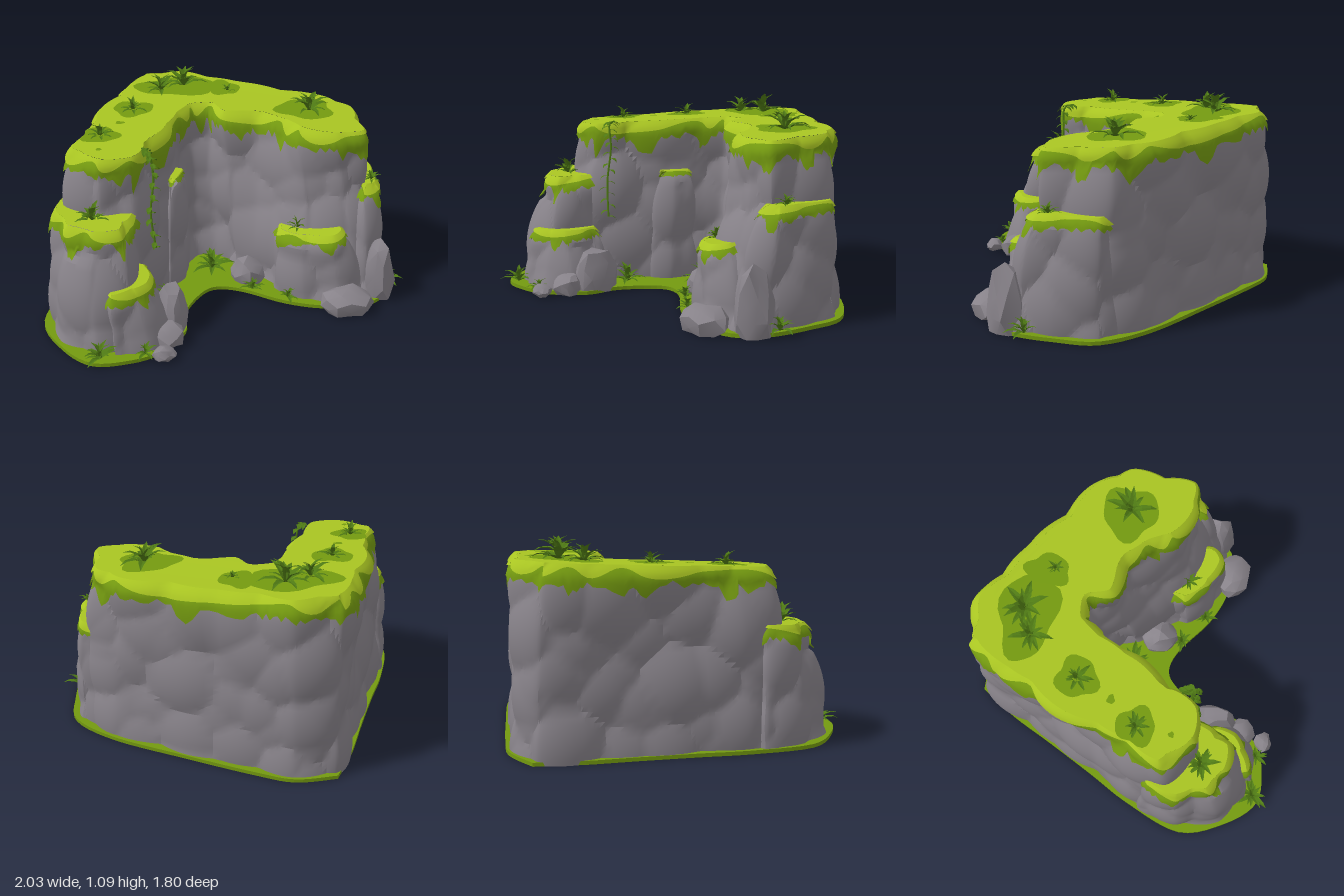
import * as THREE from 'three';
import { mergeGeometries, toCreasedNormals } from 'three/addons/utils/BufferGeometryUtils.js';

const mat = (name, color, open = true) => {
  const m = new THREE.MeshStandardMaterial({ color });
  m.name = name;
  if (open) m.side = THREE.DoubleSide;
  return m;
};

// Repeatable pseudo-random value from up to four numbers
const hash = (a, b = 0, c = 0, d = 0) => {
  const s = Math.sin(a * 127.1 + b * 311.7 + c * 74.7 + d * 53.3 + 1.7) * 43758.5453;
  return s - Math.floor(s);
};
const wave = (s, k) => 0.5 + 0.5 * Math.sin(s * k + 2 * Math.sin(s * k * 0.37));

// Stone pattern: upper envelope of tilted bulges on a jittered lattice
const CELL = 0.24;
function stone(x, y, z) {
  const ix = Math.floor(x / CELL), iy = Math.floor(y / CELL), iz = Math.floor(z / CELL);
  let best = -1;
  for (let a = ix - 1; a <= ix + 1; a++) for (let b = iy - 1; b <= iy + 1; b++) for (let c = iz - 1; c <= iz + 1; c++) {
    const r = (k) => hash(a, b, c, k);
    const dx = x - (a + r(1)) * CELL, dy = y - (b + r(2)) * CELL, dz = z - (c + r(3)) * CELL;
    const tilt = 0.35 * ((r(4) - 0.5) * dx + (r(5) - 0.5) * dy + (r(6) - 0.5) * dz);
    best = Math.max(best, 0.035 * r(7) + tilt - 1.1 * (dx * dx + dy * dy + dz * dz));
  }
  return best - 0.015;
}

// Grid of points joined into a surface; closed around u
function sheet(cols, rows, point, crease) {
  const pos = [], idx = [];
  for (let j = 0; j <= rows; j++) for (let i = 0; i < cols; i++) pos.push(...point(i, j / rows));
  for (let j = 0; j < rows; j++) for (let i = 0; i < cols; i++) {
    const n = (i + 1) % cols, a = j * cols + i, b = j * cols + n;
    idx.push(a, a + cols, b, b, a + cols, b + cols);
  }
  const g = new THREE.BufferGeometry();
  g.setAttribute('position', new THREE.Float32BufferAttribute(pos, 3));
  g.setIndex(idx);
  g.computeVertexNormals();
  return crease ? toCreasedNormals(g, crease) : g;
}

// Flat cover over a ring of [x, y, z] points
function cover(ring, topY) {
  const g = new THREE.ShapeGeometry(new THREE.Shape(ring.map((p) => new THREE.Vector2(p[0], -p[2]))));
  g.rotateX(-Math.PI / 2);
  const p = g.attributes.position;
  for (let i = 0; i < p.count; i++) p.setY(i, topY(p.getX(i), p.getZ(i)));
  g.computeVertexNormals();
  return g;
}

// Leaf along +x: folded, arching blade
function leaf(width) {
  const ts = [0, 0.35, 0.7, 1], ws = [0.4, 1, 0.65, 0], pos = [];
  const pt = (i, s) => [ts[i], 1.0 * ts[i] - 0.75 * ts[i] ** 2 + Math.abs(s) * 0.06 * ws[i], s * width * ws[i]];
  for (let i = 0; i < 3; i++) for (const s of [-1, 1]) {
    pos.push(...pt(i, 0), ...pt(i + 1, 0), ...pt(i, s), ...pt(i, s), ...pt(i + 1, 0), ...pt(i + 1, s));
  }
  const g = new THREE.BufferGeometry();
  g.setAttribute('position', new THREE.Float32BufferAttribute(pos, 3));
  return g;
}

export function createModel() {
  const model = new THREE.Group();
  const rock = mat('grey rock', 0x878289, false);
  const lime = mat('bright grass', 0xa9c522);
  const green = mat('dark grass', 0x749a10);
  const plantGreen = mat('plant leaf', 0x4f7a14);
  const add = (name, geo, m, parent = model) => {
    const mesh = new THREE.Mesh(geo, m);
    mesh.name = name;
    parent.add(mesh);
    return mesh;
  };

  // Rock block from [bottom x, bottom z, top x, top z] corners, with a grass cap
  function cliff(name, corners, topY, cols, drip) {
    const group = new THREE.Group();
    group.name = name;
    model.add(group);
    const curve = (k) => new THREE.CatmullRomCurve3(
      corners.map((c) => new THREE.Vector3(c[k], 0, c[k + 1])), true, 'catmullrom', 0.3);
    const low = curve(0), high = curve(2);
    const surf = (i, drop, extra) => {
      const u = i / cols, b = low.getPoint(u), t = high.getPoint(u);
      const tan = high.getTangent(u);
      const h = topY(t.x, t.z), f = 1 - drop / h;
      const x = b.x + (t.x - b.x) * f, z = b.z + (t.z - b.z) * f, y = h * f;
      const round = 0.04 * Math.max(0, 1 - drop / 0.07) ** 2;
      const d = stone(x, y, z) + extra - round;
      return [x + tan.z * d, y + extra * f * 0.8, z - tan.x * d];
    };
    const height = (i) => { const t = high.getPoint(i / cols); return topY(t.x, t.z); };
    add('rockWall', sheet(cols, Math.ceil(topY(0, 0) * 36), (i, v) => surf(i, height(i) * (1 - v), 0), 0.4), rock, group);
    const arc = high.getLength() / cols;
    const fringe = (i) => drip * (0.5 + 0.9 * wave(i * arc, 31) * wave(i * arc + 3, 13) + 0.35 * hash(i));
    const turf = (i) => drip * (0.12 + 0.4 * wave(i * arc + 1, 17));
    add('grassFringe', sheet(cols, 6, (i, v) => surf(i, fringe(i) * (1 - v), 0.012)), green, group);
    add('grassRim', sheet(cols, 4, (i, v) => surf(i, turf(i) * (1 - v), 0.02)), lime, group);
    const ring = Array.from({ length: cols }, (_, i) => surf(i, 0, 0.02));
    add('grassTop', cover(ring, (x, z) => topY(x, z) + 0.016), lime, group);
  }

  // Main angled cliff
  const plateau = (x, z) => 0.93 - 0.045 * z - 0.02 * Math.max(0, x);
  cliff('mainCliff', [
    [-0.36, -0.87, -0.36, -0.83], [-0.14, -0.87, -0.12, -0.84], [0.05, -0.78, 0.04, -0.74],
    [0.4, -0.57, 0.38, -0.53], [0.75, -0.34, 0.7, -0.34], [0.91, -0.13, 0.82, -0.19],
    [0.92, 0.08, 0.82, 0], [0.9, 0.28, 0.78, 0.18], [0.75, 0.38, 0.62, 0.21],
    [0.5, 0.38, 0.42, 0.13], [0.32, 0.3, 0.36, 0], [0.22, 0.14, 0.22, -0.12],
    [0.1, 0, 0.05, -0.15], [0, -0.16, -0.02, -0.26], [-0.1, -0.17, -0.12, -0.27],
    [-0.2, 0, -0.2, -0.17], [-0.32, 0.2, -0.28, 0.06], [-0.42, 0.36, -0.37, 0.28],
    [-0.52, 0.52, -0.48, 0.4], [-0.72, 0.55, -0.66, 0.42], [-0.91, 0.4, -0.81, 0.26],
    [-0.87, 0.12, -0.77, 0.07], [-0.73, -0.15, -0.67, -0.15], [-0.6, -0.42, -0.56, -0.42],
    [-0.48, -0.67, -0.46, -0.67]], plateau, 260, 0.12);

  // Stepped ledges around the foot of the cliff
  cliff('leftLedge', [[-0.9, 0.15, -0.84, 0.2], [-0.5, 0.25, -0.5, 0.28], [-0.46, 0.55, -0.49, 0.5],
    [-0.5, 0.76, -0.56, 0.61], [-0.72, 0.79, -0.72, 0.62], [-0.89, 0.65, -0.86, 0.54], [-0.97, 0.4, -0.92, 0.37]],
  (x, z) => 0.64 - 0.05 * z, 90, 0.09);
  cliff('leftStep', [[-0.6, 0.35, -0.6, 0.4], [-0.34, 0.36, -0.42, 0.42], [-0.27, 0.5, -0.4, 0.54],
    [-0.3, 0.66, -0.43, 0.65], [-0.45, 0.78, -0.5, 0.72], [-0.64, 0.8, -0.64, 0.74]],
  () => 0.32, 70, 0.07);
  cliff('rightLedge', [[0.78, -0.22, 0.74, -0.18], [0.94, -0.14, 0.9, -0.13], [0.95, 0.1, 0.92, 0.08],
    [0.91, 0.32, 0.89, 0.22], [0.78, 0.42, 0.77, 0.27], [0.66, 0.3, 0.7, 0.15]],
  () => 0.6, 70, 0.08);
  cliff('rightStep', [[0.3, 0.1, 0.35, 0.08], [0.7, 0.15, 0.68, 0.1], [0.8, 0.38, 0.66, 0.33],
    [0.62, 0.47, 0.58, 0.39], [0.42, 0.42, 0.42, 0.34], [0.27, 0.27, 0.3, 0.22]],
  (x) => 0.33 + 0.1 * x, 70, 0.06);
  cliff('innerLedge', [[-0.28, -0.14, -0.27, -0.1], [-0.15, -0.1, -0.16, -0.07],
    [-0.19, 0.08, -0.19, 0.05], [-0.3, 0.16, -0.28, 0.12]], () => 0.64, 36, 0.04);

  // Grassy ground plate
  const ground = new THREE.Shape(new THREE.SplineCurve([
    [-0.36, -0.89], [-0.14, -0.89], [0.05, -0.8], [0.4, -0.59], [0.76, -0.36], [0.96, -0.14], [0.97, 0.08],
    [0.93, 0.32], [0.8, 0.47], [0.55, 0.48], [0.33, 0.4], [0.12, 0.25], [-0.02, 0.2], [-0.12, 0.25],
    [-0.23, 0.43], [-0.25, 0.62], [-0.4, 0.79], [-0.56, 0.85], [-0.75, 0.84], [-0.9, 0.67], [-0.99, 0.42],
    [-0.88, 0.1], [-0.75, -0.15], [-0.61, -0.43], [-0.49, -0.68], [-0.36, -0.89],
  ].map(([x, z]) => new THREE.Vector2(x, -z))).getPoints(120));
  const plate = new THREE.ExtrudeGeometry(ground, { depth: 0.02, bevelEnabled: false });
  add('ground', plate.rotateX(-Math.PI / 2), green);

  // Loose boulders: x, y, z and half sizes
  [[0.65, 0.03, 0.49, 0.14, 0.1, 0.11], [-0.38, 0.03, 0.83, 0.06, 0.04, 0.05], [0.16, 0.05, 0.11, 0.1, 0.1, 0.11],
    [-0.31, 0.08, 0.52, 0.08, 0.17, 0.13], [-0.35, 0.04, 0.69, 0.09, 0.08, 0.08], [0.86, 0.08, 0.36, 0.09, 0.26, 0.1],
  ].forEach(([x, y, z, a, b, c], k) => {
    const g = new THREE.IcosahedronGeometry(1, 1), p = g.attributes.position;
    for (let i = 0; i < p.count; i++) {
      const q = [p.getX(i), p.getY(i), p.getZ(i)];
      const s = 0.85 + 0.3 * hash(...q.map((v) => Math.round(v * 50)), k);
      p.setXYZ(i, x + q[0] * a * s, Math.max(0, y + q[1] * b * s), z + q[2] * c * s);
    }
    add('boulder', toCreasedNormals(g, 0.5), rock);
  });

  // Dark grass patches on the plateau: x, z, radii
  [[-0.17, -0.55, 0.24, 0.15], [0.1, -0.5, 0.09, 0.12], [-0.45, -0.23, 0.11, 0.11], [0.52, -0.14, 0.16, 0.15],
    [-0.64, 0.11, 0.1, 0.1], [-0.53, -0.04, 0.025, 0.02], [-0.65, 0.29, 0.015, 0.015],
  ].forEach(([x, z, rx, rz]) => {
    const ring = Array.from({ length: 28 }, (_, i) => {
      const a = i / 28 * Math.PI * 2, r = 1 + 0.12 * Math.sin(a * 3 + x * 9) + 0.07 * Math.sin(a * 5 + z * 7);
      return [x + Math.cos(a) * rx * r, 0, z + Math.sin(a) * rz * r];
    });
    add('grassPatch', cover(ring, (px, pz) => plateau(px, pz) + 0.021), green);
  });

  // Leafy tufts: x, y, z, spread
  const blade = leaf(0.14);
  [[-0.13, 0.97, -0.57, 0.15], [-0.27, 0.965, -0.51, 0.13], [-0.45, 0.95, -0.23, 0.09], [-0.64, 0.935, 0.11, 0.1],
    [0.54, 0.94, -0.13, 0.15], [0.12, 0.96, -0.46, 0.06], [-0.7, 0.62, 0.47, 0.13], [0.42, 0.38, 0.23, 0.09],
    [0.85, 0.61, 0.14, 0.07], [-0.03, 0.02, -0.02, 0.14], [-0.31, 0.02, 0.31, 0.13], [0.35, 0.02, 0.37, 0.08],
    [0.17, 0.02, 0.25, 0.08], [-0.7, 0.02, 0.81, 0.11], [-0.47, 0.02, 0.8, 0.08], [0.93, 0.02, 0.25, 0.11],
  ].forEach(([x, y, z, r], k) => {
    const leaves = Array.from({ length: 15 }, (_, i) => {
      const s = r * (0.65 + 0.4 * hash(i, k)), lift = 0.5 * (i % 3) - 0.15;
      return blade.clone().rotateZ(lift).rotateY(i * 2.4 + k).scale(s, s * 0.85, s).translate(x, y, z);
    });
    const g = mergeGeometries(leaves);
    g.computeVertexNormals();
    add('leafTuft', g, plantGreen);
  });

  // Hanging vine with alternating leaves
  const stem = new THREE.CatmullRomCurve3([[-0.43, 0.94, 0.31], [-0.4, 0.93, 0.36], [-0.38, 0.8, 0.365],
    [-0.4, 0.6, 0.38], [-0.38, 0.4, 0.39]].map((p) => new THREE.Vector3(...p)));
  add('vineStem', new THREE.TubeGeometry(stem, 24, 0.006, 5), plantGreen);
  const vineLeaf = leaf(0.3);
  const vine = mergeGeometries(Array.from({ length: 24 }, (_, i) => {
    const p = stem.getPoint((i + 1) / 24);
    return vineLeaf.clone().rotateZ(-0.7).rotateY((i % 2 ? 0.3 : -2.2) + hash(i)).scale(0.05, 0.05, 0.05).translate(p.x, p.y, p.z);
  }));
  vine.computeVertexNormals();
  add('vineLeaves', vine, plantGreen);
  return model;
}
